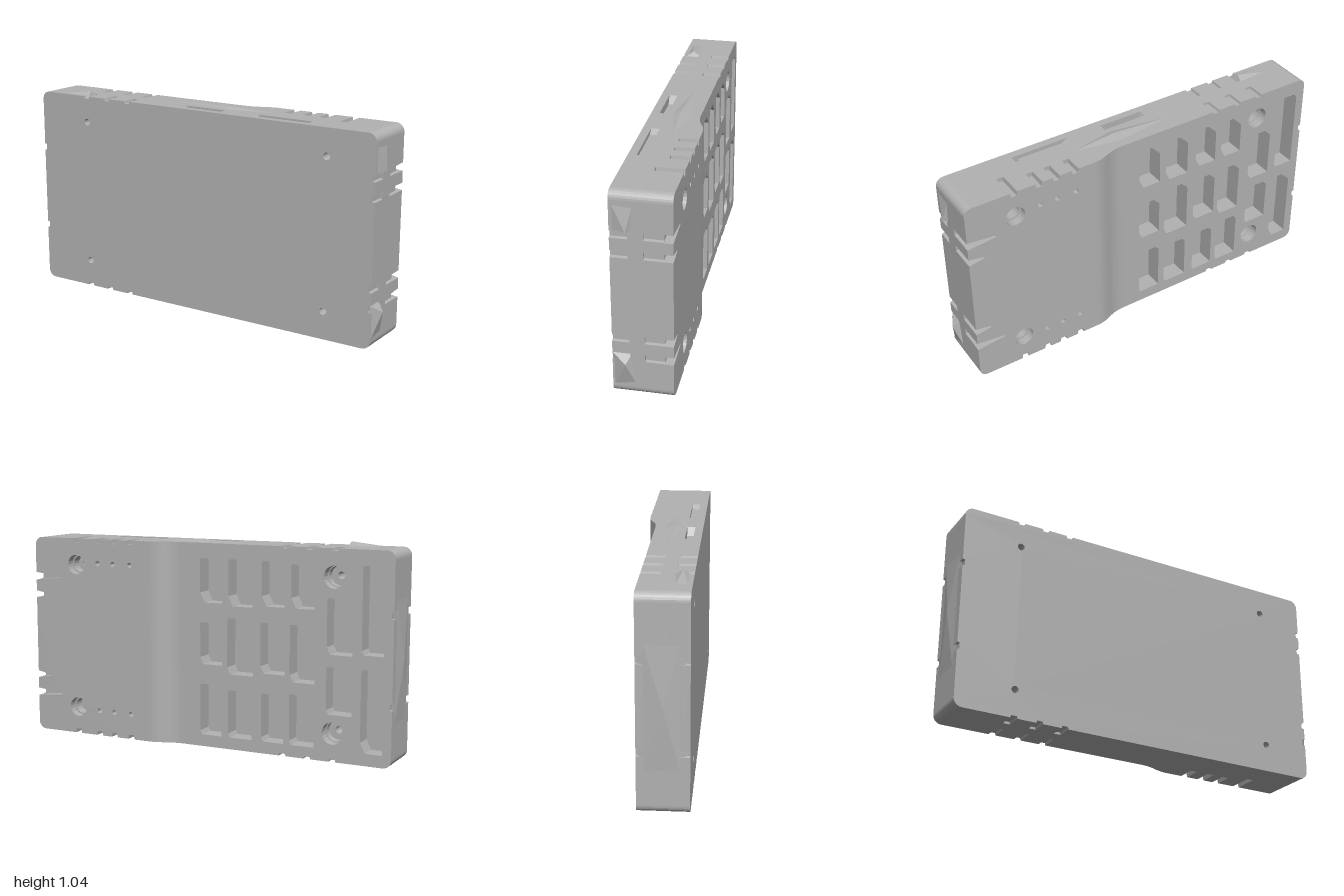
import * as THREE from 'three';
import { ConvexGeometry } from 'three/addons/geometries/ConvexGeometry.js';

const Y0 = 0.01, Y1 = 1.035, XL = -0.985, XR = 0.97;

// Rounded outline whose edges carry notches [centre, width, depth, taper]
function outline(x0, n, radiusLeft = 0.04) {
  const pts = [];
  const corner = (cx, cy, r, a) => {
    for (let i = 0; i <= 6; i++) {
      const t = a + (i / 6) * Math.PI / 2;
      pts.push([cx + r * Math.cos(t), cy + r * Math.sin(t)]);
      if (!r) break;
    }
  };
  const notches = (list = [], dir, place) => {
    [...list].sort((a, b) => dir * (a[0] - b[0])).forEach(([c, w, d, taper = 0.8]) => {
      const h = dir * w / 2;
      pts.push(place(c - h, 0), place(c - h * taper, d), place(c + h * taper, d), place(c + h, 0));
    });
  };
  const r = 0.04, l = radiusLeft;
  corner(x0 + l, Y0 + l, l, Math.PI);
  notches(n.bottom, 1, (u, d) => [u, Y0 + d]);
  corner(XR - r, Y0 + r, r, -Math.PI / 2);
  notches(n.right, 1, (u, d) => [XR - d, u]);
  corner(XR - r, Y1 - r, r, 0);
  notches(n.top, -1, (u, d) => [u, Y1 - d]);
  corner(x0 + l, Y1 - l, l, Math.PI / 2);
  notches(n.left, -1, (u, d) => [x0 + d, u]);
  return new THREE.Shape(pts.map(p => new THREE.Vector2(...p)));
}

const circle = (x, y, r) => new THREE.Path().absarc(x, y, r, 0, Math.PI * 2, true);

const polygon = pts => new THREE.Path(pts.map(p => new THREE.Vector2(...p)));

export function createModel() {
  const group = new THREE.Group();
  const grey = new THREE.MeshStandardMaterial({ color: 0xb2b2b2, flatShading: true });
  grey.name = 'plain grey';

  const add = (geometry, name) => {
    const mesh = new THREE.Mesh(geometry, grey);
    mesh.name = name;
    group.add(mesh);
    return mesh;
  };
  const layer = (name, shape, holes, z0, z1) => {
    shape.holes.push(...holes);
    const g = new THREE.ExtrudeGeometry(shape, { depth: z1 - z0, bevelEnabled: false, curveSegments: 10 });
    add(g.translate(0, 0, z0), name);
  };

  // Grip notches around the rim
  const thin = [-0.69, -0.56, -0.43].map(x => [x, 0.036, 0.012]);
  const thick = [0.40, 0.50, 0.59].map(x => [x, 0.036, 0.022]);
  const deep = [[0.72, 0.036, 0.022]];
  const right = [0.21, 0.305, 0.735, 0.83].map(y => [y, 0.036, 0.015]);
  const left = [0.305, 0.735].map(y => [y, 0.036, 0.012]);
  const slots = [[0, 0.23, 0.04], [0.45, 0.3, 0.02]];
  const rim = (extra = []) => ({ top: [...thin, ...extra], bottom: [...thin, ...extra], right, left });

  // Screw holes through the whole body
  const screws = (rLeft, rRight) => [0.15, 0.9].flatMap(y =>
    [circle(-0.69, y, rLeft), circle(0.72, y, rRight)]);

  // Uneven pockets in the back: centre x, width, bottom, top
  const pockets = [
    [-0.04, 0.12, 0.07, 0.33], [-0.04, 0.12, 0.43, 0.64], [-0.04, 0.12, 0.74, 0.96],
    [-0.20, 0.13, 0.07, 0.31], [-0.20, 0.14, 0.39, 0.67], [-0.20, 0.13, 0.73, 0.96],
    [-0.375, 0.12, 0.07, 0.31], [-0.375, 0.13, 0.41, 0.66], [-0.375, 0.12, 0.74, 0.96],
    [-0.53, 0.13, 0.07, 0.32], [-0.53, 0.13, 0.38, 0.66], [-0.53, 0.12, 0.74, 0.95],
    [-0.72, 0.13, 0.24, 0.47], [-0.72, 0.13, 0.53, 0.80],
    [-0.885, 0.11, 0.07, 0.47], [-0.885, 0.11, 0.54, 0.96],
  ].map(([x, w, a, b], i) => {
    const h = w / 2, c = 0.02 + 0.015 * (i % 3);
    return polygon([[x - h, a], [x - h, b - c], [x - h + c, b], [x + h, b], [x + h, a + c], [x + h - c / 2, a]]);
  });
  const pinHoles = thick.flatMap(([x]) => [circle(x, 0.91, 0.013), circle(x, 0.14, 0.013)]);

  // Body in slices from front to back
  layer('frontPanel', outline(XL, rim()), screws(0.018, 0.018), 0.10, 0.14);
  const socketRim = rim();
  socketRim.top = [...thin, ...slots];
  layer('socketSlice', outline(XL, socketRim), screws(0.018, 0.018), 0.06, 0.10);
  layer('middleSlice', outline(XL, {}), screws(0.018, 0.018), -0.01, 0.06);
  layer('pocketSlice', outline(XL, rim(deep)), [...screws(0.05, 0.018), ...pockets], -0.05, -0.01);
  layer('backSlice', outline(XL, rim([...thick, ...deep])),
    [...screws(0.055, 0.042), ...pockets, ...pinHoles], -0.10, -0.05);

  // Raised back section, with gouges running in from its side
  const gouges = [[0.21, 0.04, 0.15, 0.2], [0.305, 0.036, 0.08, 0.2], [0.735, 0.036, 0.08, 0.2], [0.83, 0.04, 0.15, 0.2]];
  const grip = [...thick, ...deep];
  layer('raisedBack', outline(0.3, { top: grip, bottom: grip, right: gouges }, 0),
    [0.15, 0.9].map(y => circle(0.72, y, 0.05)).concat(pinHoles), -0.142, -0.10);

  // Smooth ramp up to the raised section
  const ramp = new THREE.Shape();
  ramp.moveTo(0.12, 0.09);
  ramp.lineTo(0.3, 0.09);
  ramp.lineTo(0.3, 0.142);
  ramp.bezierCurveTo(0.22, 0.142, 0.21, 0.102, 0.12, 0.1);
  const rampGeometry = new THREE.ExtrudeGeometry(ramp, { depth: Y1 - Y0, bevelEnabled: false, curveSegments: 10 });
  add(rampGeometry.rotateX(-Math.PI / 2).translate(0, Y0, 0), 'backRamp');

  // Shallow faceted swellings on the rim
  const swelling = (name, pts) =>
    add(new ConvexGeometry(pts.map(p => new THREE.Vector3(...p))), name);
  swelling('topCornerSwelling', [[-0.97, 1.02, 0.14], [-0.70, 1.055, 0.09], [-0.68, 1.02, 0.14], [-0.69, 1.02, 0.03], [-0.95, 1.02, 0.05]]);
  swelling('topMiddleSwelling', [[-0.35, 1.03, -0.02], [0.1, 1.046, 0], [0.45, 1.03, -0.02], [0.1, 1.03, 0.05], [0.1, 1.03, -0.08]]);
  swelling('upperSideSwelling', [[0.965, 0.85, 0.14], [0.99, 0.855, 0.065], [0.965, 0.99, 0.03], [0.965, 0.85, 0.04], [0.965, 1.0, 0.14]]);
  swelling('lowerSideSwelling', [[0.965, 0.225, 0.14], [1.0, 0.185, 0.075], [0.965, 0.06, 0.03], [0.965, 0.225, 0.05], [0.965, 0.04, 0.14]]);
  swelling('farSideSwelling', [[-0.98, 0.9, 0.12], [-1, 0.52, 0.02], [-0.98, 0.12, 0.12], [-0.98, 0.9, -0.09], [-0.98, 0.12, -0.09]]);
  return group;
}
